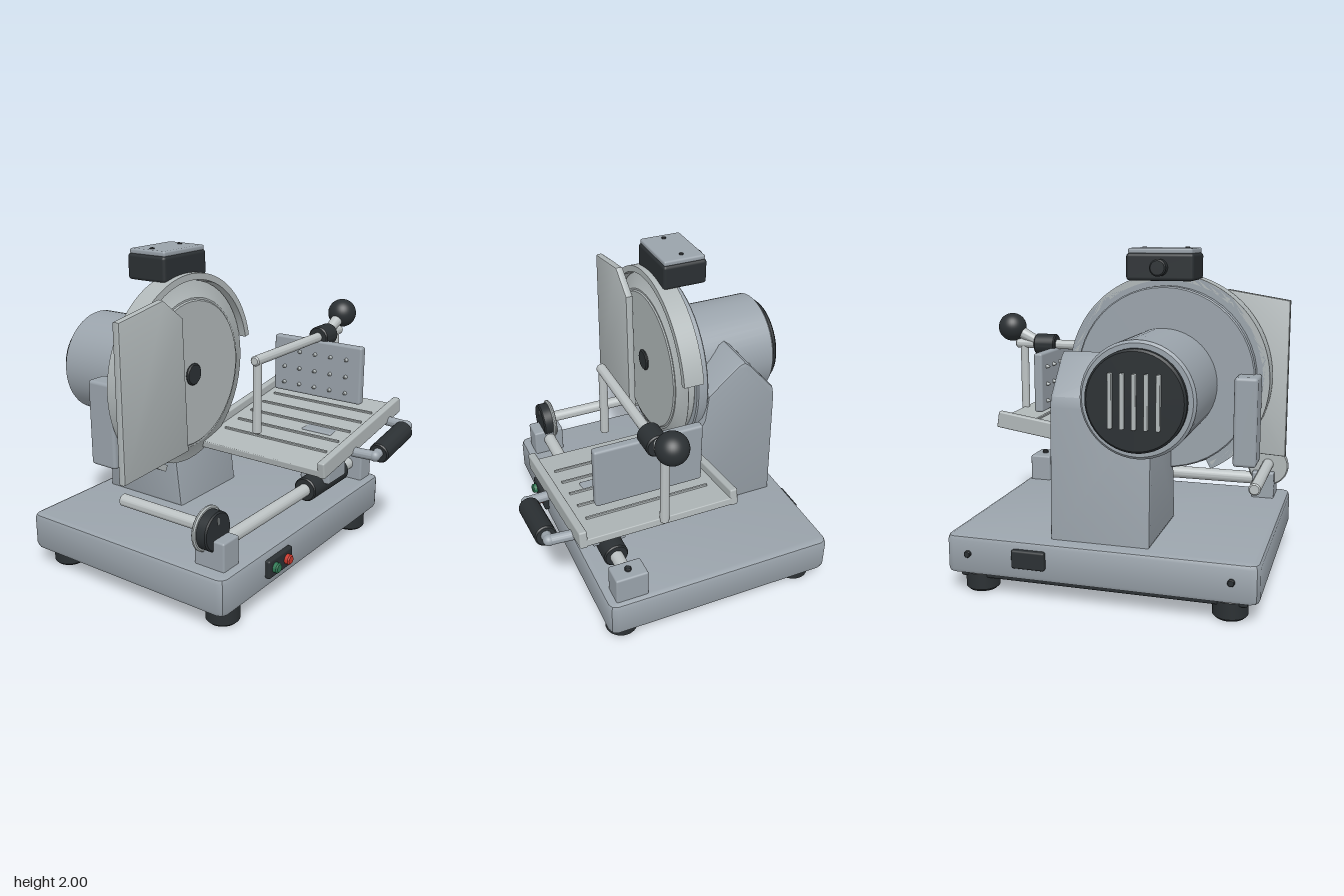
import * as THREE from 'three';
import { toCreasedNormals } from 'three/addons/utils/BufferGeometryUtils.js';
import { RoundedBoxGeometry } from 'three/addons/geometries/RoundedBoxGeometry.js';

const mat = (color) => new THREE.MeshStandardMaterial({ color });
const BODY = mat(0x9aa3ab), STEEL = mat(0xb0b7b8), ROD = mat(0xbcc2c3);
const DARK = mat(0x2b3033), GREEN = mat(0x2f7a55), RED = mat(0xc8382c);
const V = (x, y, z) => new THREE.Vector3(x, y, z);

export function createModel() {
  const root = new THREE.Group();

  const add = (name, geo, material, parent = root) => {
    const mesh = new THREE.Mesh(geo, material);
    mesh.name = name;
    parent.add(mesh);
    return mesh;
  };

  // Box given by its limits on each axis, with softened edges
  const box = (name, m, [x0, x1], [y0, y1], [z0, z1], r = 0.012, parent = root) => {
    const mesh = add(name, new RoundedBoxGeometry(x1 - x0, y1 - y0, z1 - z0, 2, r), m, parent);
    mesh.position.set((x0 + x1) / 2, (y0 + y1) / 2, (z0 + z1) / 2);
    return mesh;
  };

  // Round bar from a to b with chamfered ends; r2 is the radius at b
  const bar = (name, m, a, b, r, { r2 = r, c = 0.008, parent = root } = {}) => {
    const h = a.distanceTo(b);
    const pts = [[0, 0], [r - c, 0], [r, c], [r2, h - c], [r2 - c, h], [0, h]];
    const lathe = new THREE.LatheGeometry(pts.map((p) => new THREE.Vector2(...p)), 48);
    const mesh = add(name, toCreasedNormals(lathe, 0.5), m, parent);
    mesh.position.copy(a);
    mesh.quaternion.setFromUnitVectors(V(0, 1, 0), b.clone().sub(a).normalize());
    return mesh;
  };
  const barZ = (name, m, x, y, z0, z1, r, o) => bar(name, m, V(x, y, z0), V(x, y, z1), r, o);

  // Extruded outline; the bevel stays inside the depth
  const slab = (shape, depth, bevel, segs = 2) => {
    const g = new THREE.ExtrudeGeometry(shape, {
      depth: depth - 2 * bevel, bevelEnabled: bevel > 0, bevelThickness: bevel,
      bevelSize: bevel, bevelOffset: -bevel, bevelSegments: segs, curveSegments: 48,
    });
    g.translate(0, 0, bevel);
    return toCreasedNormals(g, 0.6);
  };
  const outline = (pts) => new THREE.Shape(pts.map((p) => new THREE.Vector2(...p)));

  // Base housing with chamfered corners
  const [bx0, bx1, bz0, bz1, k] = [-0.97, 0.865, -0.88, 0.61, 0.05];
  const baseShape = outline([
    [bx0 + k, -bz1], [bx1 - k, -bz1], [bx1 - k * 0.3, -bz1 + k * 0.3], [bx1, -bz1 + k],
    [bx1, -bz0 - k], [bx1 - k * 0.3, -bz0 - k * 0.3], [bx1 - k, -bz0], [bx0 + k, -bz0],
    [bx0 + k * 0.3, -bz0 - k * 0.3], [bx0, -bz0 - k], [bx0, -bz1 + k], [bx0 + k * 0.3, -bz1 + k * 0.3],
  ]);
  add('base', slab(baseShape, 0.235, 0.03).rotateX(-Math.PI / 2), BODY).position.y = 0.12;
  box('basePlate', DARK, [-0.9, 0.8], [0.085, 0.13], [-0.82, 0.55]);
  for (const x of [-0.795, 0.695]) {
    for (const z of [-0.74, 0.48]) {
      bar('foot', DARK, V(x, 0, z), V(x, 0.125, z), 0.1, { c: 0.015 });
      bar('plateScrew', STEEL, V(x * 0.86, 0.075, z * 0.84), V(x * 0.86, 0.09, z * 0.84), 0.014, { c: 0.003 });
    }
  }

  // Controls on the front and cable socket on the back
  box('switchPanel', DARK, [-0.56, -0.31], [0.19, 0.305], [0.6, 0.64]);
  barZ('startButton', GREEN, -0.5, 0.248, 0.63, 0.67, 0.031);
  barZ('stopButton', RED, -0.375, 0.248, 0.63, 0.67, 0.031);
  box('cableSocket', DARK, [0.24, 0.44], [0.2, 0.31], [-0.91, -0.87]);
  for (const x of [-0.82, 0.72]) barZ('backScrew', DARK, x, 0.25, -0.9, -0.87, 0.02, { c: 0.004 });

  // Pedestal: side profile (horizontal value is -z) extruded across x
  const pedestal = outline([
    [0.18, 0.35], [0.79, 0.35], [0.768, 1.12], [0.755, 1.18], [0.575, 1.385],
    [0.54, 1.41], [0.5, 1.395], [0.3, 1.22], [0.28, 1.05], [0.255, 1.0],
  ]);
  add('pedestal', slab(pedestal, 0.59, 0.02).rotateY(Math.PI / 2), BODY).position.x = -0.345;

  // Motor with vented rear cap
  const cx = -0.3, cy = 1.235;
  barZ('motor', BODY, -0.295, 1.208, -0.885, -0.28, 0.322, { c: 0.015 });
  barZ('motorCap', DARK, -0.295, 1.208, -0.928, -0.875, 0.28, { c: 0.012 });
  for (let i = -2; i <= 2; i++) {
    const x = -0.295 + i * 0.066;
    box('ventBar', STEEL, [x - 0.011, x + 0.011], [1.06, 1.36], [-0.955, -0.92], 0.006);
  }

  // Blade, its carrier and the guard arc around it
  barZ('bladeCarrier', BODY, cx, cy, -0.3, -0.225, 0.54);
  barZ('bladeHub', STEEL, cx, cy, -0.23, -0.14, 0.5);
  barZ('blade', STEEL, cx, cy, -0.155, -0.113, 0.565, { r2: 0.47, c: 0.004 });
  barZ('bladeCover', STEEL, cx, cy, -0.13, -0.105, 0.455);
  barZ('coverNut', DARK, cx, cy, -0.11, -0.088, 0.068);
  const arc = (inner, outer, depth) => {
    const s = new THREE.Shape();
    const [a, b] = [0.215, 4.25];
    s.absarc(0, 0, outer, a, b, false);
    s.absarc(0, 0, inner, b, a, true);
    return slab(s, depth, 0);
  };
  add('bladeGuard', arc(0.572, 0.612, 0.128), STEEL).position.set(cx, cy, -0.235);
  add('guardFlange', arc(0.5, 0.61, 0.02), BODY).position.set(cx, cy, -0.235);

  // Sharpener on top
  box('sharpener', DARK, [-0.495, -0.1], [1.81, 1.965], [-0.43, -0.145], 0.02);
  box('sharpenerLid', BODY, [-0.485, -0.11], [1.96, 1.993], [-0.42, -0.152]);
  barZ('sharpenerKnob', DARK, cx, 1.885, -0.485, -0.42, 0.048);
  for (const x of [-0.43, -0.175]) bar('lidScrew', DARK, V(x, 1.985, -0.29), V(x, 2, -0.29), 0.014, { c: 0.003 });

  // Thickness gauge plate, bracket, slide rod and dial
  const gauge = outline([[-1, 0.755], [-0.425, 0.785], [-0.46, 1.62], [-0.63, 1.75], [-1, 1.69]]);
  add('gaugePlate', slab(gauge, 0.05, 0.012), STEEL).position.z = -0.093;
  box('gaugeBracket', BODY, [-0.87, -0.735], [0.76, 1.28], [-0.43, -0.24], 0.02);
  barZ('gaugeRod', ROD, -0.838, 0.573, -0.22, 0.41, 0.037);
  barZ('dialFlange', STEEL, -0.84, 0.565, 0.395, 0.42, 0.133);
  barZ('dial', DARK, -0.84, 0.565, 0.41, 0.485, 0.116);
  box('dialMark', STEEL, [-0.845, -0.835], [0.605, 0.65], [0.48, 0.489], 0.002);

  // Carriage rail with end blocks, sliding sleeve and arm
  for (const [x0, x1] of [[-0.885, -0.74], [0.69, 0.83]]) {
    box('railBlock', BODY, [x0, x1], [0.345, 0.527], [0.35, 0.555]);
    const x = (x0 + x1) / 2;
    bar('blockScrew', DARK, V(x, 0.52, 0.455), V(x, 0.545, 0.455), 0.02, { c: 0.004 });
  }
  bar('carriageRail', ROD, V(-0.78, 0.46, 0.45), V(0.73, 0.46, 0.45), 0.041);
  bar('railSleeve', DARK, V(0.125, 0.46, 0.45), V(0.565, 0.46, 0.45), 0.078);
  box('carriageArm', BODY, [0.24, 0.46], [0.48, 0.83], [0.345, 0.56]);

  // Tilted tray with lips, ribs and pull handle
  const tray = new THREE.Group();
  tray.name = 'tray';
  tray.position.set(0.3225, 0.83, 0);
  tray.rotation.z = 0.15;
  root.add(tray);
  box('trayPlate', STEEL, [-0.5, 0.5], [-0.045, 0], [-0.2, 0.74], 0.006, tray);
  for (const z of [-0.215, 0.708]) box('trayLip', STEEL, [-0.5, 0.5], [-0.052, 0.052], [z, z + 0.047], 0.01, tray);
  for (let i = 0; i < 5; i++) {
    const x = -0.285 + i * 0.147;
    box('trayRib', STEEL, [x - 0.008, x + 0.008], [-0.005, 0.012], [-0.11, 0.65], 0.004, tray);
  }
  const handlePath = new THREE.CurvePath();
  const hp = [[-0.125, 0.73], [-0.115, 0.885], [0.33, 0.885], [0.345, 0.73]].map(([x, z]) => V(x, -0.05, z));
  for (let i = 0; i < 3; i++) handlePath.add(new THREE.LineCurve3(hp[i], hp[i + 1]));
  for (let i = 0; i < 3; i++) bar('handleBar', BODY, hp[i], hp[i + 1], 0.031, { parent: tray });
  for (const p of [hp[1], hp[2]]) add('handleElbow', new THREE.SphereGeometry(0.034, 20, 14), BODY, tray).position.copy(p);
  bar('handleGrip', DARK, V(-0.07, -0.057, 0.885), V(0.28, -0.057, 0.885), 0.064, { parent: tray });

  // Food pusher plate with gripping pins
  box('pusherPlate', BODY, [0.563, 0.62], [0.935, 1.318], [-0.075, 0.585], 0.015);
  for (const y of [1.0, 1.11, 1.225]) {
    for (let i = 0; i < 5; i++) {
      const z = 0.01 + i * 0.117;
      bar('pusherPin', STEEL, V(0.57, y, z), V(0.54, y, z), 0.014, { r2: 0.008, c: 0.003 });
    }
  }

  // Pusher guide bar with posts, collar and ball handle
  const gz = 0.25;
  bar('guideBar', ROD, V(-0.16, 1.34, gz), V(0.87, 1.34, gz), 0.031);
  for (const x of [-0.125, 0.815]) bar('guidePost', ROD, V(x, 0.875, gz), V(x, 1.34, gz), 0.027);
  bar('guideCollar', DARK, V(0.58, 1.338, gz), V(0.725, 1.338, gz), 0.07);
  bar('knobStem', ROD, V(0.7, 1.35, gz), V(0.88, 1.435, gz), 0.03, { r2: 0.042 });
  add('ballKnob', new THREE.SphereGeometry(0.094, 40, 28), DARK).position.set(0.9, 1.448, gz);

  return root;
}
